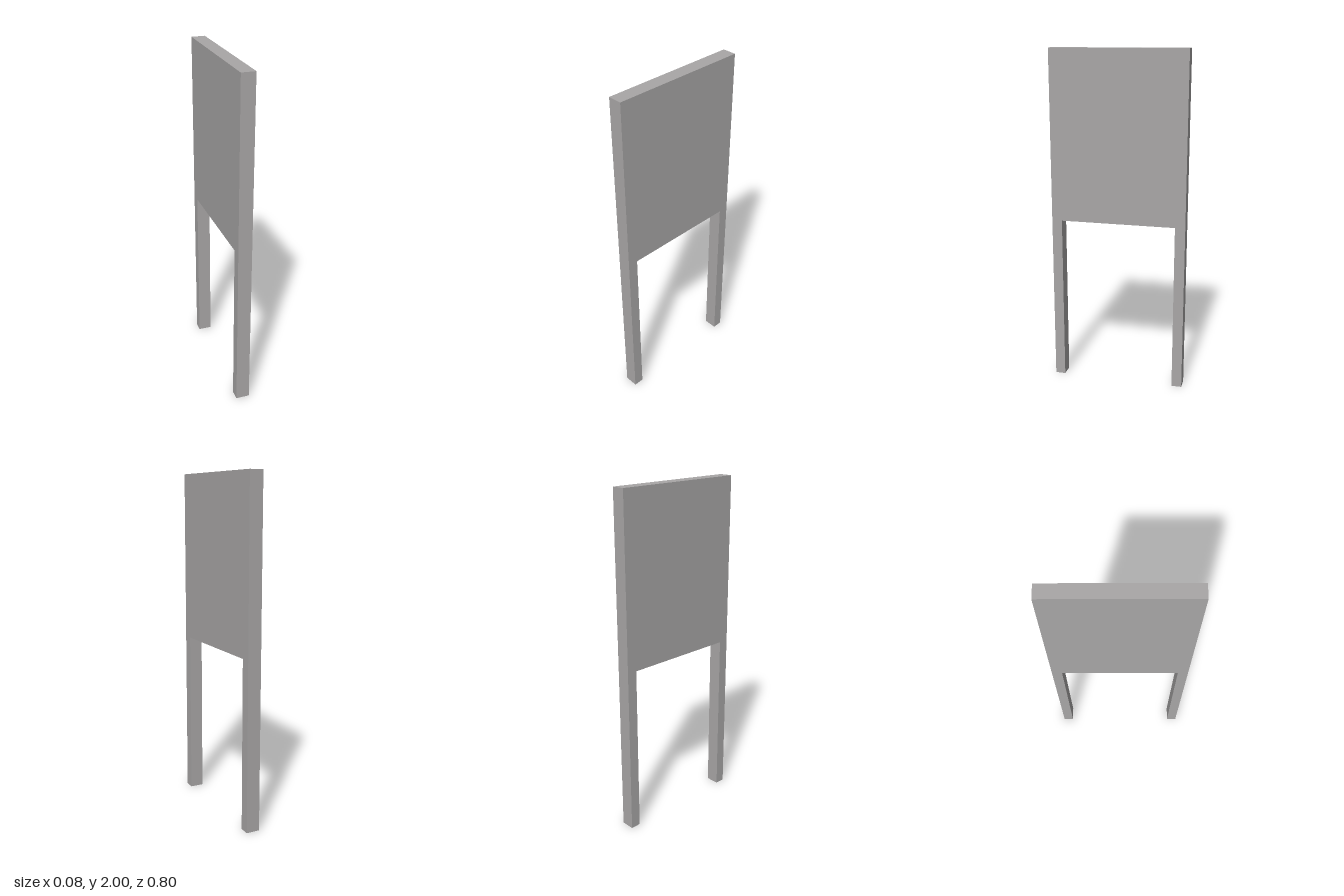
import * as THREE from 'three';

const WIDTH = 0.8, HEIGHT = 2, DEPTH = 0.08;
const LEG_WIDTH = 0.06, LEG_HEIGHT = 1;

export function createModel() {
  const model = new THREE.Group();
  model.name = 'signBoard';

  const grey = new THREE.MeshStandardMaterial({ color: 0xa9a7a7 });
  grey.name = 'grey';

  // Board and its two legs, cut from one slab
  const outer = WIDTH / 2, inner = outer - LEG_WIDTH;
  const outline = new THREE.Shape([
    [-outer, 0], [-inner, 0], [-inner, LEG_HEIGHT], [inner, LEG_HEIGHT],
    [inner, 0], [outer, 0], [outer, HEIGHT], [-outer, HEIGHT],
  ].map(([u, y]) => new THREE.Vector2(u, y)));

  const geometry = new THREE.ExtrudeGeometry(outline, { depth: DEPTH, bevelEnabled: false });
  geometry.translate(0, 0, -DEPTH / 2);
  geometry.rotateY(Math.PI / 2); // broad faces look along x

  const board = new THREE.Mesh(geometry, grey);
  board.name = 'boardWithLegs';
  model.add(board);
  return model;
}
